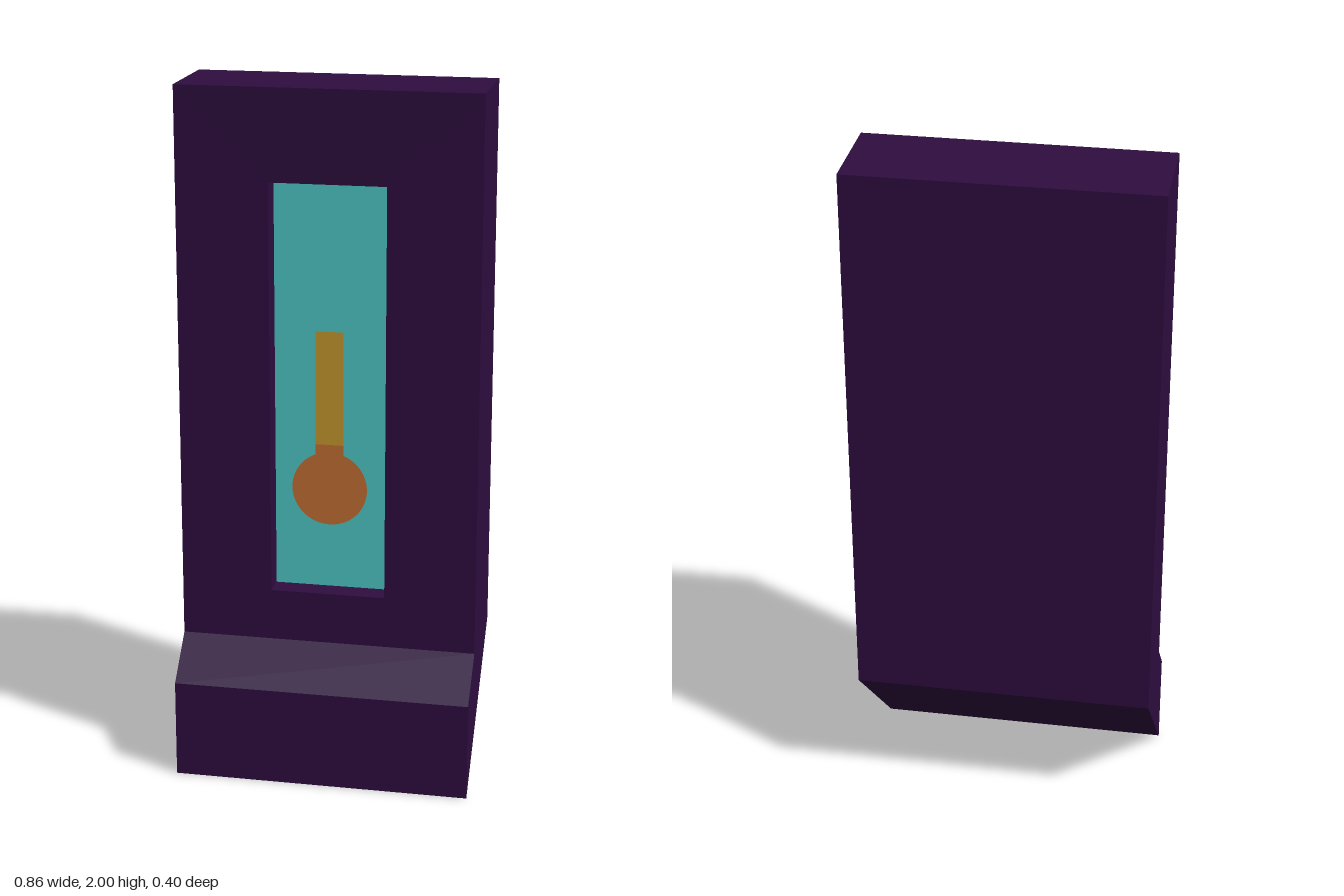
import * as THREE from 'three';

const W = 0.855, FRONT = 0.085, RECESS = 0.015;

function flatMaterial(name, color, side = THREE.FrontSide) {
  const m = new THREE.MeshStandardMaterial({ color, side });
  m.name = name;
  return m;
}

// Rectangle outline, counter-clockwise
function rect(x, y0, y1, Type = THREE.Shape) {
  return new Type([[-x, y0], [x, y0], [x, y1], [-x, y1]].map(p => new THREE.Vector2(...p)));
}

export function createModel() {
  const group = new THREE.Group();
  const purple = flatMaterial('darkPurple', 0x2e0d40);
  const teal = flatMaterial('teal', 0x50cbc9);
  const gold = flatMaterial('gold', 0xc99a2f, THREE.DoubleSide);
  const orange = flatMaterial('orange', 0xc87136, THREE.DoubleSide);

  const add = (name, geometry, material, z = 0) => {
    const mesh = new THREE.Mesh(geometry, material);
    mesh.name = name;
    mesh.position.z = z;
    group.add(mesh);
  };

  // Back slab and slanted foot: side profile (z, y) extruded across the width
  const profile = [[0.2, 0], [0.2, 0.285], [FRONT, 0.4], [RECESS, 0.4], [RECESS, 2], [-0.2, 2], [-0.2, 0.4]];
  const side = new THREE.Shape(profile.map(([z, y]) => new THREE.Vector2(-z, y)));
  const body = new THREE.ExtrudeGeometry(side, { depth: W, bevelEnabled: false });
  body.rotateY(Math.PI / 2).translate(-W / 2, 0, 0);
  add('body', body, purple);

  // Front frame with the window opening
  const frame = rect(W / 2, 0.4, 2);
  frame.holes.push(rect(0.165, 0.55, 1.74, THREE.Path));
  add('frontFrame', new THREE.ExtrudeGeometry(frame, { depth: FRONT - RECESS, bevelEnabled: false }), purple, RECESS);

  // Display panel at the bottom of the recess
  add('displayPanel', new THREE.ShapeGeometry(rect(0.165, 0.55, 1.74)), teal, RECESS + 0.002);

  // Gauge: stem, and bulb with a short neck, hovering inside the recess
  add('gaugeStem', new THREE.ShapeGeometry(rect(0.04, 0.99, 1.32)), gold, 0.055);
  const r = 0.108, cy = 0.86, a = Math.acos(0.04 / r);
  const bulb = new THREE.Shape();
  bulb.moveTo(0.04, 0.99);
  bulb.lineTo(-0.04, 0.99);
  bulb.absarc(0, cy, r, Math.PI - a, 2 * Math.PI + a, false);
  bulb.closePath();
  add('gaugeBulb', new THREE.ShapeGeometry(bulb, 32), orange, 0.055);

  return group;
}
